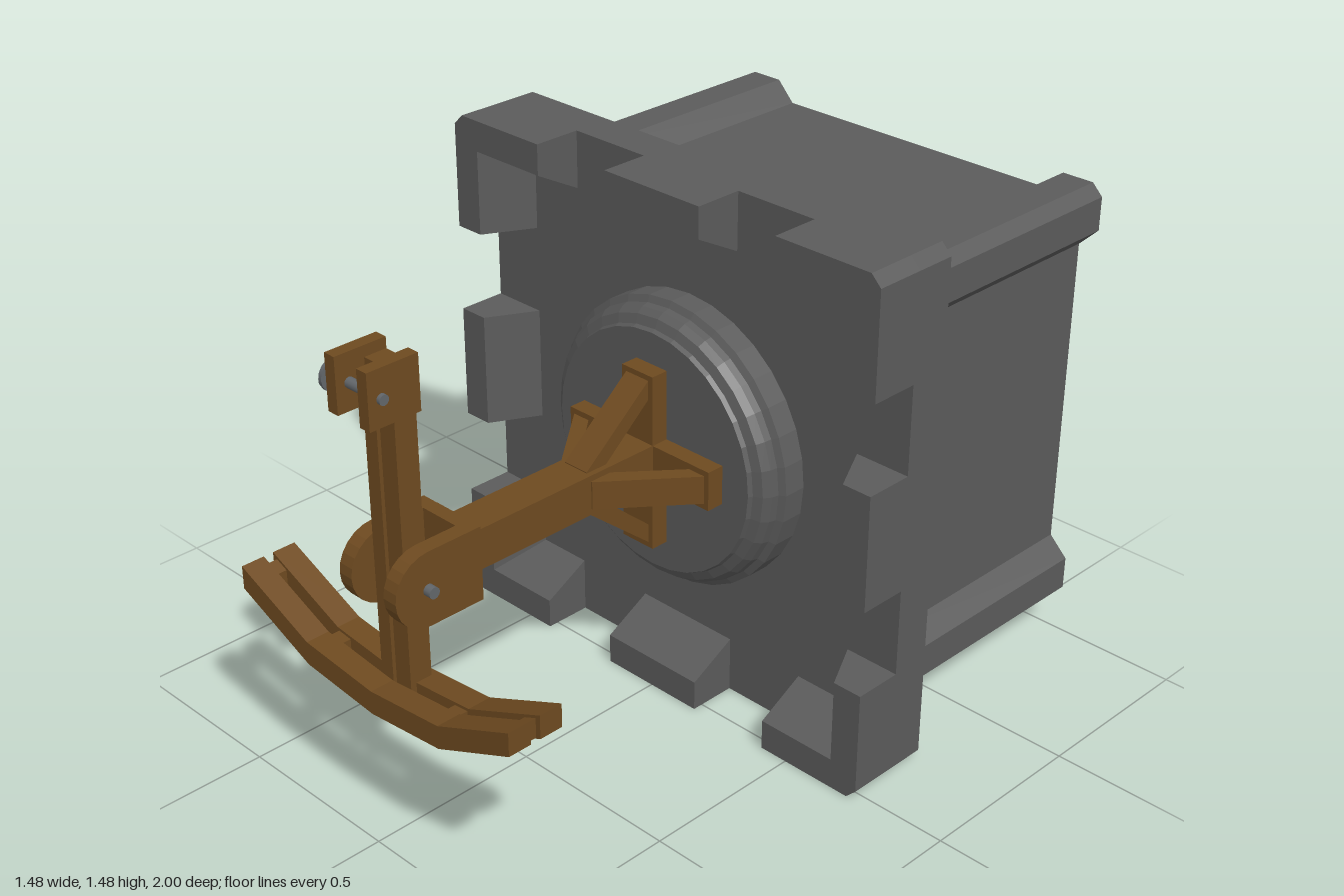
import * as THREE from 'three';

const CY = 0.745; // height of the central axis

const stone = new THREE.MeshStandardMaterial({ color: 0x5b5b5b });
stone.name = 'stone grey';
const wood = new THREE.MeshStandardMaterial({ color: 0x6e4a20 });
wood.name = 'brown wood';
const metal = new THREE.MeshStandardMaterial({ color: 0x62666a });
metal.name = 'metal grey';

// Solid between two matching outlines: one at z0 (back) and one at z1 (front)
function loft(back, front, z0, z1) {
  let A = back.map(p => new THREE.Vector2(...p));
  let B = front.map(p => new THREE.Vector2(...p));
  if (THREE.ShapeUtils.isClockWise(B)) { A.reverse(); B.reverse(); }
  const pos = [];
  const put = (p, z) => pos.push(p.x, p.y, z);
  for (let i = 0; i < A.length; i++) {
    const j = (i + 1) % A.length;
    put(A[i], z0); put(A[j], z0); put(B[j], z1);
    put(A[i], z0); put(B[j], z1); put(B[i], z1);
  }
  for (const [a, b, c] of THREE.ShapeUtils.triangulateShape(B, [])) {
    put(B[a], z1); put(B[b], z1); put(B[c], z1);
  }
  for (const [a, b, c] of THREE.ShapeUtils.triangulateShape(A, [])) {
    put(A[a], z0); put(A[c], z0); put(A[b], z0);
  }
  const g = new THREE.BufferGeometry();
  g.setAttribute('position', new THREE.Float32BufferAttribute(pos, 3));
  g.computeVertexNormals();
  return g;
}
const prism = (pts, z0, z1) => loft(pts, pts, z0, z1);

// Prism drawn in (z, y) and extruded along x
const sidePrism = (pts, x0, x1) => prism(pts, -x1, -x0).rotateY(-Math.PI / 2);

// Repeat a corner run of points around the four corners
function fourfold(run) {
  const out = [];
  for (let k = 0; k < 4; k++) {
    for (const [x, y] of run) {
      out.push([[x, y], [-y, x], [-x, -y], [y, -x]][k]);
    }
  }
  return out;
}

export function createModel() {
  const root = new THREE.Group();
  root.name = 'wallMountedLauncher';

  const group = name => {
    const g = new THREE.Group();
    g.name = name;
    root.add(g);
    return g;
  };
  const add = (parent, name, geo, mat) => {
    const m = new THREE.Mesh(geo, mat);
    m.name = name;
    parent.add(m);
    return m;
  };
  const box = (parent, name, x0, x1, y0, y1, z0, z1, mat = wood) => {
    const g = new THREE.BoxGeometry(x1 - x0, y1 - y0, z1 - z0);
    g.translate((x0 + x1) / 2, (y0 + y1) / 2, (z0 + z1) / 2);
    return add(parent, name, g, mat);
  };
  const rod = (parent, name, r, x0, x1, y, z, sides = 12) => {
    const g = new THREE.CylinderGeometry(r, r, x1 - x0, sides);
    g.rotateZ(Math.PI / 2).translate((x0 + x1) / 2, y, z);
    return add(parent, name, g, metal);
  };

  // Stone housing, centred on the axis
  const housing = group('housing');
  housing.position.y = CY;

  // Rear block with recessed side panels between corner posts
  const bodyRun = [[0.575, 0.45], [0.632, 0.505], [0.632, 0.6], [0.6, 0.632], [0.505, 0.632], [0.45, 0.575]];
  add(housing, 'rearBlock', prism(fourfold(bodyRun), -1, -0.3), stone);

  // Flange and its taper
  const flange = fourfold([[0.742, 0.712], [0.712, 0.742]]);
  const neck = fourfold([[0.632, 0.602], [0.602, 0.632]]);
  add(housing, 'flangeTaper', loft(neck, flange, -0.312, -0.225), stone);
  add(housing, 'flange', prism(flange, -0.225, -0.11), stone);

  // Raised rim: corner and middle blocks with gaps between, bevelled inside
  const corner = i => [[0.742, 0.415], [0.742, 0.712], [0.712, 0.742], [0.415, 0.742], [0.415, i], [i, i], [i, 0.415]];
  const middle = i => [[-0.165, i], [0.165, i], [0.165, 0.742], [-0.165, 0.742]];
  for (let k = 0; k < 4; k++) {
    for (const [name, shape] of [['cornerBlock', corner], ['middleBlock', middle]]) {
      add(housing, name, loft(shape(0.58), shape(0.655), -0.11, 0.03), stone).rotation.z = k * Math.PI / 2;
    }
  }

  // Round boss with a hollow-curved shoulder
  const bossProfile = [[0.41, -0.115], [0.41, -0.045], [0.392, -0.035], [0.388, -0.015], [0.375, 0.005],
    [0.35, 0.015], [0.345, 0.028], [0, 0.028]].map(p => new THREE.Vector2(...p));
  const bossGeo = new THREE.LatheGeometry(bossProfile, 32).rotateX(Math.PI / 2).toNonIndexed();
  bossGeo.computeVertexNormals();
  add(housing, 'roundBoss', bossGeo, stone);

  // Wooden bracket: crossed plates, beam and four diagonal braces
  const bracket = group('bracket');
  box(bracket, 'crossPlateUpright', -0.055, 0.055, CY - 0.255, CY + 0.255, 0.026, 0.08);
  box(bracket, 'crossPlateLevel', -0.255, 0.255, CY - 0.056, CY + 0.056, 0.026, 0.079);
  box(bracket, 'beam', -0.056, 0.056, CY - 0.057, CY + 0.057, 0.07, 0.7);
  box(bracket, 'collar', -0.08, 0.08, CY - 0.085, CY + 0.085, 0.69, 0.712);
  for (let k = 0; k < 4; k++) {
    const strut = [[0.3, 0.05], [0.3, 0.06], [0.08, 0.24], [0.075, 0.24], [0.075, 0.19], [0.24, 0.05]];
    const g = sidePrism(strut, -0.04, 0.04).rotateZ(k * Math.PI / 2).translate(0, CY, 0);
    add(bracket, 'brace', g, wood);
  }

  // Fork with rounded cheeks and pivot bolt
  const fork = group('fork');
  box(fork, 'forkBase', -0.06, 0.06, CY - 0.103, CY + 0.103, 0.71, 0.75);
  const cheek = [[0.71, CY - 0.103]];
  for (let i = 0; i <= 12; i++) {
    const a = -Math.PI / 2 + Math.PI * i / 12;
    cheek.push([0.875 + 0.103 * Math.cos(a), CY + 0.103 * Math.sin(a)]);
  }
  cheek.push([0.71, CY + 0.103]);
  for (const s of [-1, 1]) {
    add(fork, 'forkCheek', sidePrism(cheek, s * 0.0825 - 0.0225, s * 0.0825 + 0.0225), wood);
  }
  rod(fork, 'pivotBolt', 0.016, -0.128, 0.128, CY, 0.878);

  // Swinging arm: two boards with a shallow groove between
  const arm = group('swingArm');
  for (const s of [-1, 1]) {
    box(arm, 'armBoard', s * 0.034 - 0.022, s * 0.034 + 0.022, 0.43, 1.21, 0.845, 0.91);
  }
  box(arm, 'armCore', -0.013, 0.013, 0.43, 1.21, 0.855, 0.9);

  // Holder at the top of the arm, open at the front
  const holder = group('topHolder');
  box(holder, 'holderBack', -0.041, 0.041, 1.2, 1.32, 0.846, 0.91);
  for (const s of [-1, 1]) {
    box(holder, 'holderCheek', s * 0.0575 - 0.0175, s * 0.0575 + 0.0175, 1.2, 1.35, 0.845, 0.995);
  }
  rod(holder, 'holderBolt', 0.014, -0.098, 0.086, 1.273, 0.957);
  rod(holder, 'turnDisc', 0.043, -0.098, -0.088, 1.275, 0.957, 16);
  rod(holder, 'turnPin', 0.008, -0.122, -0.095, 1.252, 0.975, 8);

  // Curved cradle: two bent rails joined by rungs
  const cradle = group('cradle');
  const knots = [[-0.505, 0.525], [-0.25, 0.415], [0, 0.39], [0.25, 0.415], [0.505, 0.525]];
  const strip = pts => [...pts, ...pts.map(([x, y]) => [x, y + 0.066]).reverse()];
  for (const z of [0.825, 0.922]) add(cradle, 'rail', prism(strip(knots), z, z + 0.068), wood);
  const under = x => Math.abs(x) < 0.25
    ? 0.39 + 0.1 * Math.abs(x)
    : 0.415 + (Math.abs(x) - 0.25) * 0.431;
  for (const s of [-1, 1]) {
    for (const [a, b] of [[0.2, 0.245], [0.452, 0.49]]) {
      const ends = [s * a, s * b].map(x => [x, under(x) + 0.003]);
      const rung = [...ends, ...ends.map(([x, y]) => [x, y + 0.055]).reverse()];
      add(cradle, 'rung', prism(rung, 0.885, 0.93), wood);
    }
  }

  return root;
}
